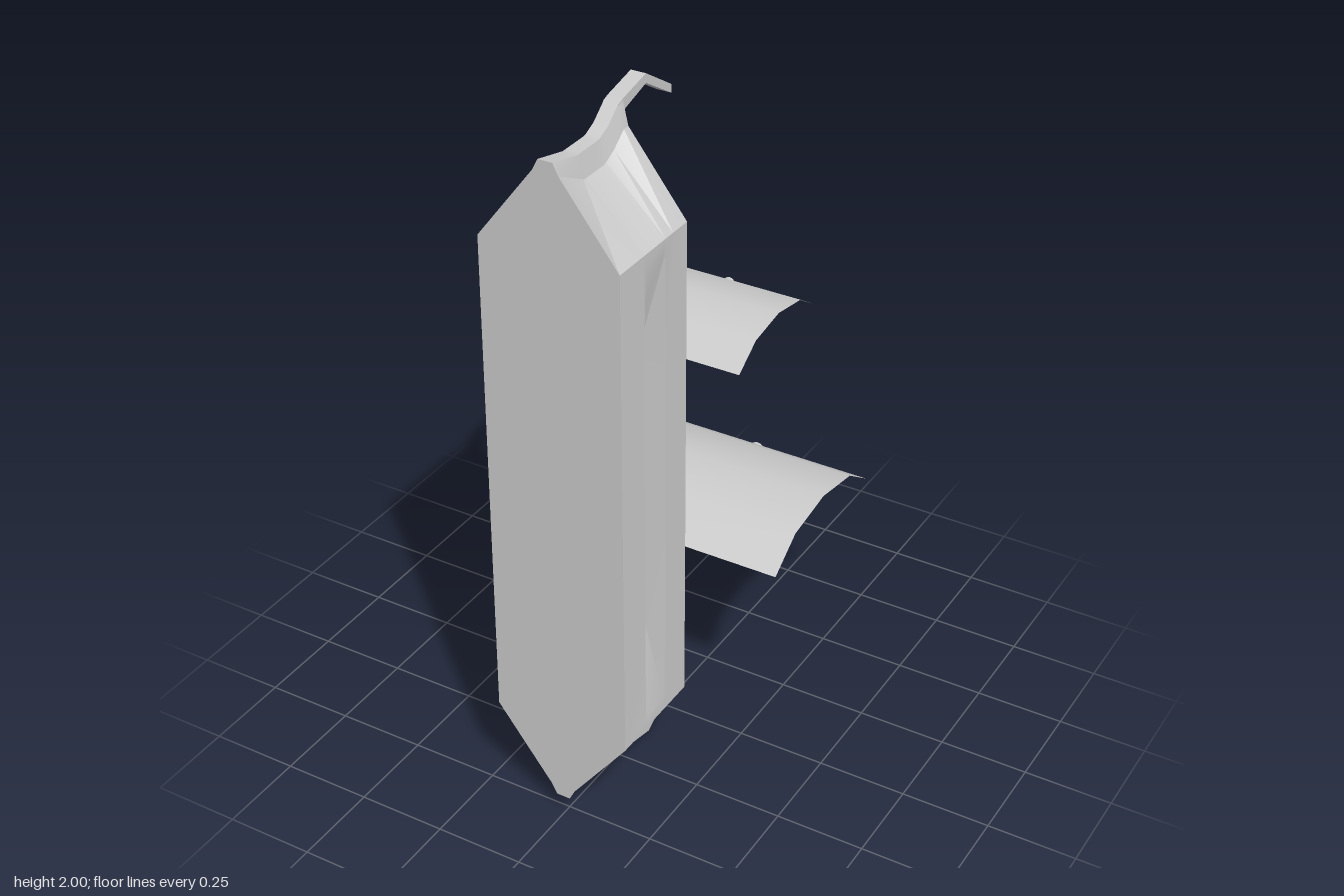
import * as THREE from 'three';
import { toCreasedNormals } from 'three/addons/utils/BufferGeometryUtils.js';

const material = new THREE.MeshStandardMaterial({ color: 0xcccccc, side: THREE.DoubleSide });

// Closed outline of the hull at depth z, mirrored in x and y (clockwise from the front)
function hullRing(z, shoulderY, tipY, groove = 0, inset = 0) {
  const side = 0.195 - inset;
  const top = [
    [0.02 - inset, tipY], [0.035 - inset, shoulderY], [side, 1.7 - inset / 2],
    [side, 1.66], [side - groove, 1.44],
  ];
  const right = [...top, ...top.map(([x, y]) => [x, 2 - y]).reverse()];
  const left = right.map(([x, y]) => [-x, y]).reverse();
  return [...right, ...left].map(([x, y]) => [x, y, z]);
}

// Joins rings from front to back and caps both ends
function loft(rings) {
  const pos = [];
  const tri = (...corners) => corners.forEach((p) => pos.push(...p));
  const n = rings[0].length;
  const first = rings[0];
  const last = rings[rings.length - 1];
  for (let j = 0; j < n; j++) {
    const k = (j + 1) % n;
    for (let i = 0; i < rings.length - 1; i++) {
      const [a, b] = [rings[i], rings[i + 1]];
      tri(a[j], a[k], b[j]);
      tri(a[k], b[k], b[j]);
    }
    tri([0, 1, first[0][2]], first[k], first[j]);
    tri([0, 1, last[0][2]], last[j], last[k]);
  }
  const g = new THREE.BufferGeometry();
  g.setAttribute('position', new THREE.Float32BufferAttribute(pos, 3));
  return toCreasedNormals(g, 0.25);
}

export function createModel() {
  const model = new THREE.Group();
  const add = (name, geometry) => {
    const mesh = new THREE.Mesh(geometry, material);
    mesh.name = name;
    model.add(mesh);
    return mesh;
  };

  // Long six-sided hull with side grooves and a shallow recess in the back
  const depth = 0.055;
  add('hull', loft([
    hullRing(0.53, 1.91, 1.94),
    hullRing(0.425, 1.857, 1.915),
    hullRing(0.415, 1.855, 1.915, depth),
    hullRing(0.335, 1.855, 1.915, depth),
    hullRing(0.325, 1.858, 1.917),
    hullRing(0.29, 1.875, 1.933),
    hullRing(0.245, 1.91, 1.97),
    hullRing(0.225, 1.91, 1.977),
    hullRing(0.225, 1.895, 1.945, 0, 0.008),
    hullRing(0.275, 1.855, 1.9, 0, 0.008),
  ]));

  // Bent hooks at both tips: side profile as (z, y), extruded across x
  for (const [name, flip] of [['topHook', false], ['bottomHook', true]]) {
    const profile = [
      [0.245, 1.97], [0.225, 1.977], [0.12, 2], [0, 1.925],
      [0, 1.902], [0.12, 1.975], [0.225, 1.945], [0.245, 1.935],
    ];
    const shape = new THREE.Shape(
      profile.map(([z, y]) => new THREE.Vector2(-z, flip ? 2 - y : y)));
    const g = new THREE.ExtrudeGeometry(shape, { depth: 0.042, bevelEnabled: false });
    g.translate(0, 0, -0.021).rotateY(Math.PI / 2);
    add(name, g);
  }

  // Rods reaching back from the hull
  const addRod = (name, y, radius, endZ) => {
    const startZ = 0.28;
    const g = new THREE.CylinderGeometry(radius, radius, startZ - endZ, 16);
    g.rotateX(Math.PI / 2).translate(0, y, (startZ + endZ) / 2);
    add(name, g);
  };
  addRod('upperRod', 1.205, 0.017, -0.345);
  addRod('lowerRod', 0.568, 0.023, -0.53);

  // Thin arched sheets above the rods: curve points as (z, y), back to front
  const addArch = (name, width, curve) => {
    const g = new THREE.PlaneGeometry(width, 1, 1, curve.length - 1);
    const p = g.attributes.position;
    for (let i = 0; i < p.count; i++) {
      const [z, y] = curve[Math.floor(i / 2)];
      p.setXYZ(i, p.getX(i), y, z);
    }
    g.computeVertexNormals();
    add(name, g);
  };
  addArch('upperArch', 0.54,
    [[-0.322, 1.227], [-0.235, 1.284], [-0.115, 1.304], [0.005, 1.284], [0.09, 1.227]]);
  addArch('lowerArch', 0.714,
    [[-0.512, 0.597], [-0.4, 0.672], [-0.24, 0.698], [-0.08, 0.672], [0.028, 0.597]]);

  return model;
}
